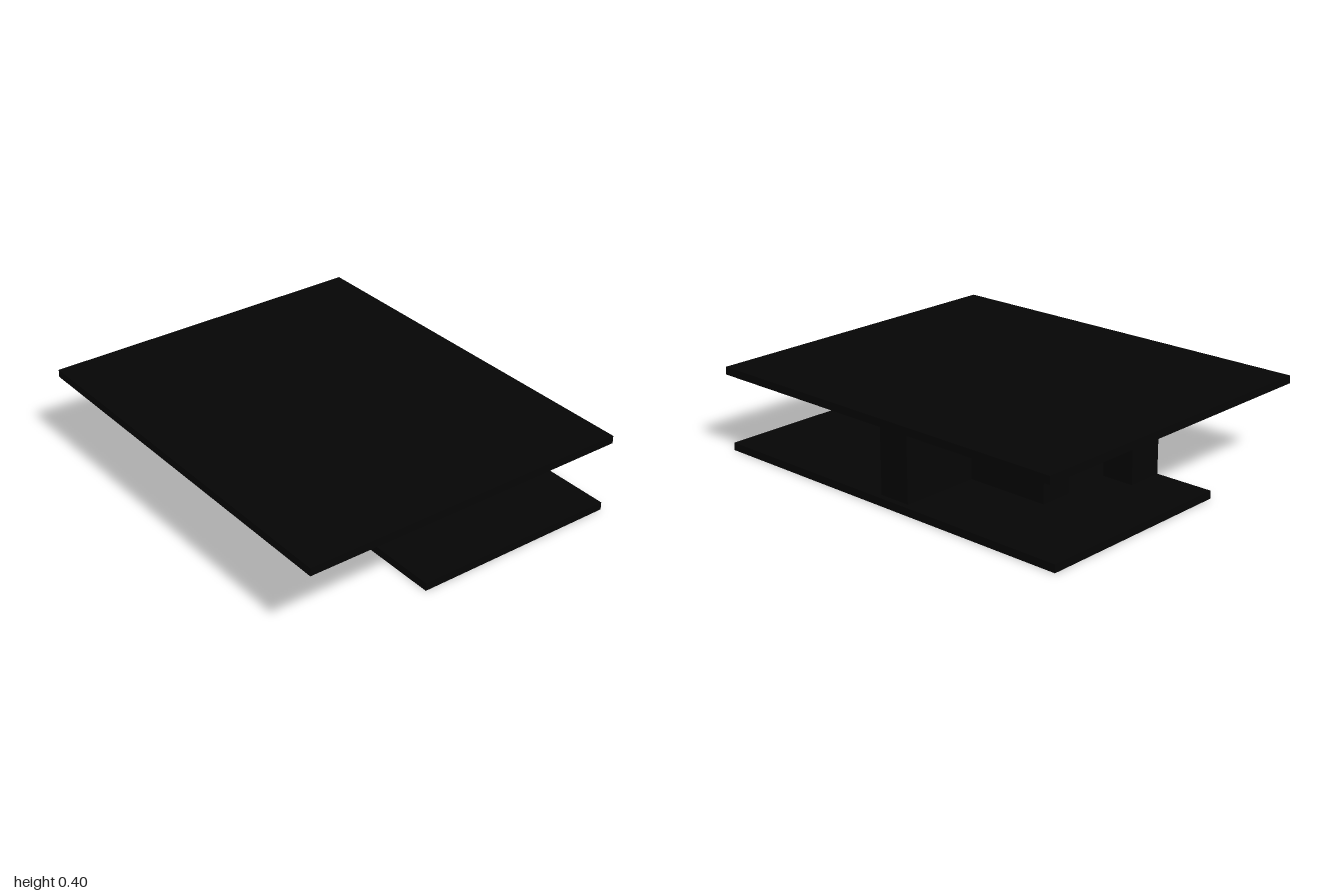
import * as THREE from 'three';

const material = new THREE.MeshStandardMaterial({ color: 0x050505 });

// Box given by its minimum and maximum on each axis
function block(name, [x0, x1], [y0, y1], [z0, z1]) {
  const geometry = new THREE.BoxGeometry(x1 - x0, y1 - y0, z1 - z0);
  const mesh = new THREE.Mesh(geometry, material);
  mesh.position.set((x0 + x1) / 2, (y0 + y1) / 2, (z0 + z1) / 2);
  mesh.name = name;
  return mesh;
}

export function createModel() {
  const model = new THREE.Group();
  model.name = 'slabPavilion';
  const storey = [0.035, 0.365];

  model.add(
    // Floor and overhanging roof
    block('floorSlab', [-1, 0.97], [0, 0.037], [-0.82, 0.2]),
    block('roofSlab', [-0.97, 1], [0.363, 0.4], [-0.82, 0.82]),
    // Walls carrying the roof
    block('longWall', [-0.15, 0.01], storey, [-0.79, 0.2]),
    block('crossWall', [-0.57, -0.15], storey, [-0.4, -0.24]),
    block('frontPier', [-0.71, -0.55], storey, [0.02, 0.2]),
    // Shallow beam under the roof overhang
    block('roofBeam', [-0.69, -0.34], [0.333, 0.365], [-0.24, 0.48])
  );
  return model;
}
